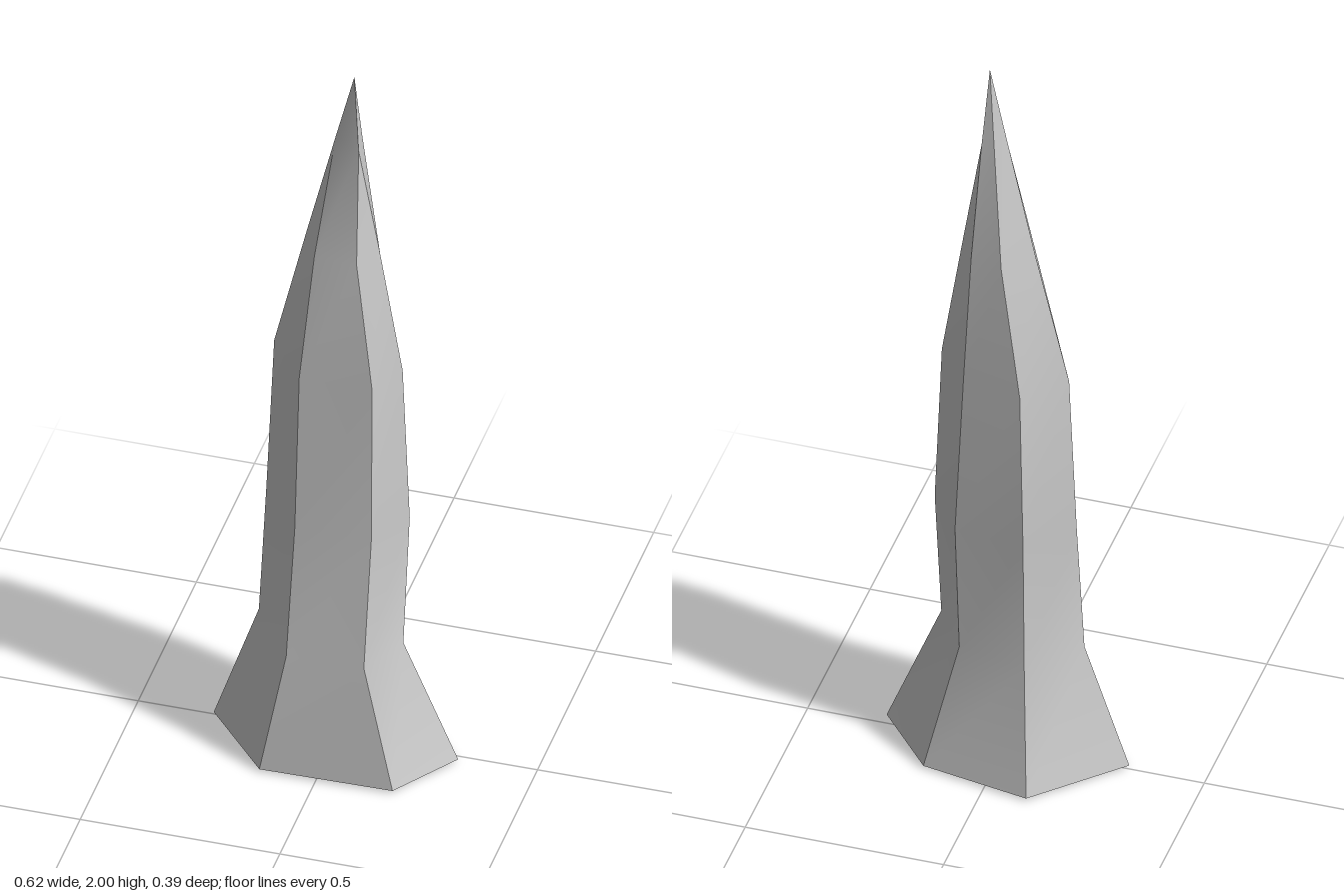
import * as THREE from 'three';

// Six ridges, counter-clockwise seen from above, starting on the -x side.
// Each ring: [height, [x, z] per ridge]; ridges merge in pairs near the tip.
const RINGS = [
  [0.008, [-0.31, 0.003], [-0.14, 0.195], [0.192, 0.19], [0.308, 0.023], [0.162, -0.147], [-0.113, -0.198]],
  [0.34, [-0.197, 0.003], [-0.08, 0.17], [0.113, 0.165], [0.175, 0.038], [0.09, -0.088], [-0.085, -0.124]],
  [0.7, [-0.183, -0.014], [-0.07, 0.13], [0.121, 0.128], [0.184, 0.014], [0.097, -0.1], [-0.081, -0.121]],
  [1.14, [-0.163, -0.012], [-0.062, 0.12], [0.12, 0.118], [0.168, 0.02], [0.08, -0.087], [-0.07, -0.112]],
  [1.49, [-0.08, -0.012], [-0.032, 0.093], [0.075, 0.097], [0.117, 0.038], [0.069, -0.06], [-0.012, -0.077]],
  [1.8, [-0.002, 0.01], [-0.002, 0.01], [0.068, 0.055], [0.068, 0.055], [0.059, -0.007], [0.026, -0.012]],
  [2.0, ...Array(6).fill([0.05, 0.03])],
];

function buildSurface(positions, index) {
  const geometry = new THREE.BufferGeometry();
  geometry.setAttribute('position', new THREE.Float32BufferAttribute(positions, 3));
  geometry.setIndex(index);
  geometry.computeVertexNormals();
  return geometry;
}

export function createModel() {
  const group = new THREE.Group();
  group.name = 'rockSpike';
  const material = new THREE.MeshStandardMaterial({ color: 0xcccccc });
  const add = (name, geometry) => {
    const mesh = new THREE.Mesh(geometry, material);
    mesh.name = name;
    group.add(mesh);
  };
  const point = ([y, ...ring], i) => [ring[i % 6][0], y, ring[i % 6][1]];

  // Side facets: each one shades smoothly upwards, with sharp ridges between
  const positions = [], index = [];
  for (let i = 0; i < 6; i++) {
    const start = positions.length / 3;
    RINGS.forEach((ring, k) => {
      positions.push(...point(ring, i), ...point(ring, i + 1));
      if (k === RINGS.length - 1) return;
      const a = start + k * 2;
      index.push(a, a + 1, a + 3, a, a + 3, a + 2);
    });
  }
  add('spikeSides', buildSurface(positions, index));

  // Underside: a very shallow fan standing on the ground
  const base = [0, 0, 0], fan = [];
  for (let i = 0; i < 6; i++) {
    base.push(...point(RINGS[0], i));
    fan.push(0, (i + 1) % 6 + 1, i + 1);
  }
  add('spikeBase', buildSurface(base, fan));

  return group;
}
